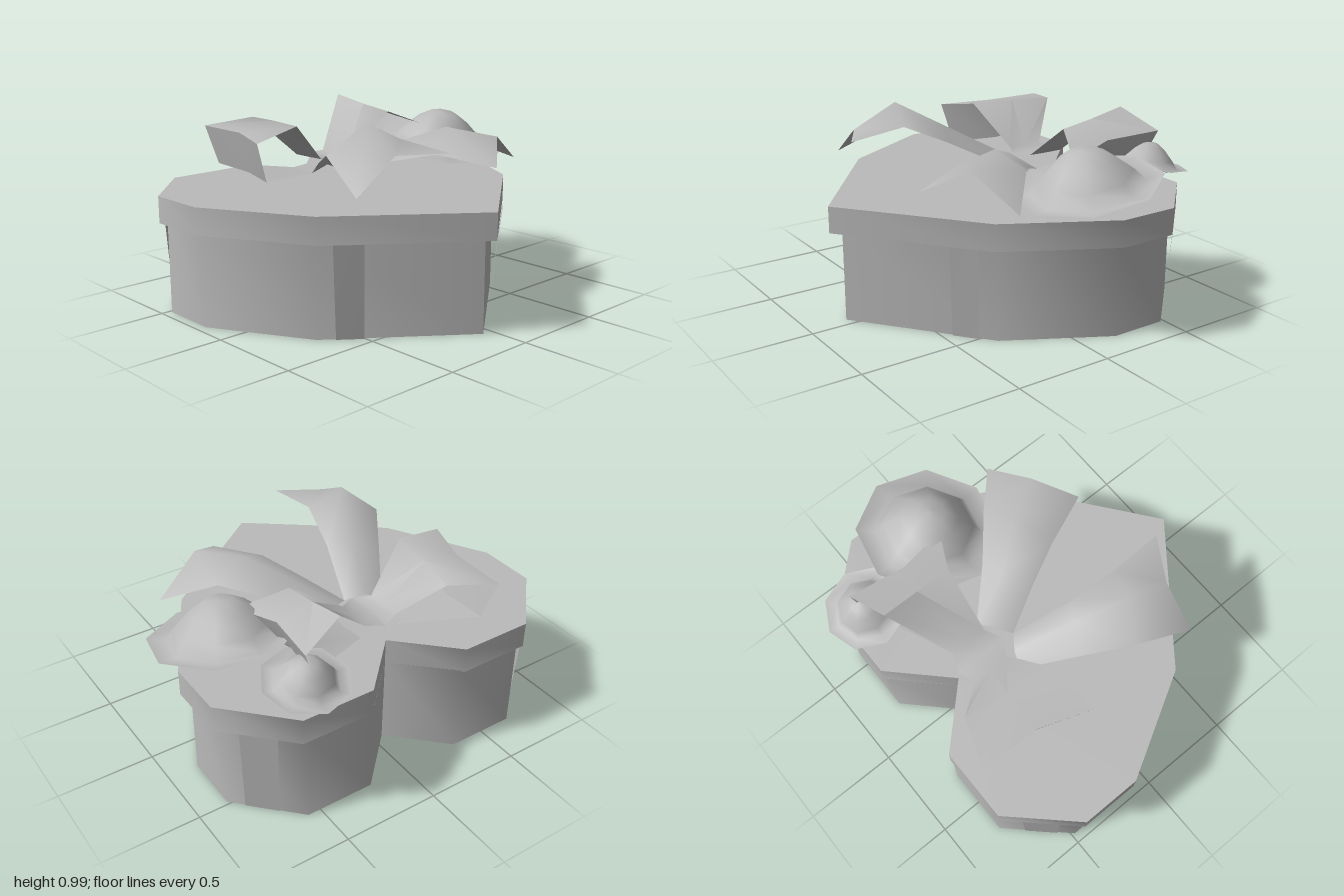
import * as THREE from 'three';
import { toCreasedNormals } from 'three/addons/utils/BufferGeometryUtils.js';

const CX = -0.055; // symmetry axis of the box
const mirrorX = (x) => 2 * CX - x;

// Smooth sheet through rows of [x, y, z] points
function sheet(rows, crease = 1.0) {
  const n = rows[0].length;
  const index = [];
  for (let i = 0; i < rows.length - 1; i++) {
    for (let j = 0; j < n - 1; j++) {
      const a = i * n + j, b = a + 1, c = a + n, d = c + 1;
      index.push(a, c, b, b, c, d);
    }
  }
  const g = new THREE.BufferGeometry();
  g.setAttribute('position', new THREE.Float32BufferAttribute(rows.flat(2), 3));
  g.setIndex(index);
  return toCreasedNormals(g, crease);
}

// Heart-shaped prism; scale is taken about the axis, dz shifts it in depth
function heartPrism(scale, dz, y0, y1) {
  const half = [[-0.71, 0.35], [-1, -0.17], [-1, -0.48], [-0.71, -0.785], [-0.33, -0.785]];
  const outline = [[CX, 0.86], ...half, [CX, -0.51],
    ...half.slice().reverse().map(([x, z]) => [mirrorX(x), z])];
  const shape = new THREE.Shape(outline.map(([x, z]) =>
    new THREE.Vector2(CX + (x - CX) * scale, -(z * scale + dz))));
  const g = new THREE.ExtrudeGeometry(shape, { depth: y1 - y0, bevelEnabled: false });
  g.rotateX(-Math.PI / 2);
  g.translate(0, y0, 0);
  return toCreasedNormals(g, 0.9);
}

// Eight-sided rosette: a dome with an upturned brim
function rosette(radius, height, phase) {
  const profile = [[1, 0.08], [0.75, 0], [0.62, 0.32], [0.4, 0.72], [0.2, 0.97], [0, 1]]
    .map(([r, y]) => new THREE.Vector2(r * radius, y * height));
  return new THREE.LatheGeometry(profile, 8, phase);
}

export function createModel() {
  const group = new THREE.Group();
  const grey = new THREE.MeshStandardMaterial({ color: 0xbababa, side: THREE.DoubleSide });
  grey.name = 'plain grey';
  const add = (name, geometry) => {
    const mesh = new THREE.Mesh(geometry, grey);
    mesh.name = name;
    group.add(mesh);
    return mesh;
  };

  // Box and lid
  add('boxBody', heartPrism(0.95, -0.026, 0, 0.475));
  add('lid', heartPrism(1, 0, 0.47, 0.605));

  // Ribbon strips flaring from the box foot to the lid rim, mirrored
  const strips = {
    frontStrip: [[[0.43, 0.47, 0.49], [0.54, 0.47, 0.4]], [[0.395, 0, 0.452], [0.5, 0, 0.37]]],
    backStrip: [[[0.805, 0.47, -0.57], [0.68, 0.47, -0.7]], [[0.782, 0, -0.552], [0.665, 0, -0.675]]],
  };
  for (const [name, rows] of Object.entries(strips)) {
    add(name + 'Left', sheet(rows));
    add(name + 'Right', sheet(rows.map((r) => r.map(([x, y, z]) => [mirrorX(x), y, z]).reverse())));
  }

  // Bow loops: each row runs back, middle, front across the ribbon
  add('bowLoopLeft', sheet([
    [[CX, 0.69, -0.505], [CX, 0.7, -0.37], [CX, 0.69, -0.225]],
    [[0.04, 0.7, -0.465], [0.04, 0.7, -0.37], [0.035, 0.7, -0.27]],
    [[0.31, 0.965, -0.64], [0.32, 0.93, -0.44], [0.33, 0.905, -0.25]],
    [[0.53, 0.875, -0.7], [0.49, 0.86, -0.4], [0.55, 0.81, -0.14]],
    [[0.47, 0.72, -0.66], [0.43, 0.7, -0.4], [0.47, 0.69, -0.2]],
    [[0.04, 0.63, -0.45], [0.04, 0.63, -0.37], [0.035, 0.63, -0.28]],
  ]));
  add('bowLoopRight', sheet([
    [[CX, 0.69, -0.505], [CX, 0.7, -0.37], [CX, 0.69, -0.225]],
    [[-0.145, 0.7, -0.465], [-0.145, 0.7, -0.37], [-0.14, 0.7, -0.27]],
    [[-0.3, 0.9, -0.64], [-0.34, 0.91, -0.42], [-0.37, 0.91, -0.185]],
    [[-0.545, 0.87, -0.73], [-0.55, 0.87, -0.42], [-0.645, 0.86, -0.15]],
    [[-0.5, 0.67, -0.68], [-0.5, 0.66, -0.42], [-0.57, 0.655, -0.18]],
    [[-0.145, 0.63, -0.45], [-0.145, 0.63, -0.37], [-0.14, 0.63, -0.28]],
  ]));
  // Underside of the knot
  add('bowKnot', sheet([
    [[-0.2, 0.635, -0.45], [CX, 0.63, -0.5], [0.08, 0.635, -0.45]],
    [[-0.2, 0.635, -0.26], [CX, 0.63, -0.23], [0.08, 0.635, -0.26]],
  ]));

  // Bow tails with notched, arched ends
  add('bowTailRight', sheet([
    [[-0.22, 0.64, -0.25], [-0.14, 0.68, -0.22], [CX, 0.64, -0.16]],
    [[-0.38, 0.75, -0.01], [-0.25, 0.84, 0.06], [-0.145, 0.79, 0.13]],
    [[-0.53, 0.84, 0.22], [-0.36, 0.985, 0.31], [-0.185, 0.895, 0.36]],
    [[-0.615, 0.7, 0.52], [-0.39, 0.865, 0.535], [-0.17, 0.865, 0.665]],
  ], 1.4));
  add('bowTailLeft', sheet([
    [[CX, 0.64, -0.16], [0.02, 0.68, -0.22], [0.1, 0.64, -0.27]],
    [[0.06, 0.71, 0.06], [0.19, 0.79, -0.02], [0.31, 0.73, -0.06]],
    [[0.16, 0.76, 0.27], [0.34, 0.87, 0.17], [0.51, 0.79, 0.11]],
    [[0.29, 0.715, 0.56], [0.48, 0.83, 0.4], [0.735, 0.675, 0.31]],
  ], 1.4));

  // Two tilted rosettes
  const big = add('largeRosette', rosette(0.37, 0.19, 0.17));
  big.position.set(0.635, 0.7, -0.157);
  big.rotation.x = 0.19;
  const small = add('smallRosette', rosette(0.215, 0.12, -0.12));
  small.position.set(0.5, 0.695, -0.655);
  small.rotation.x = -0.18;

  return group;
}
